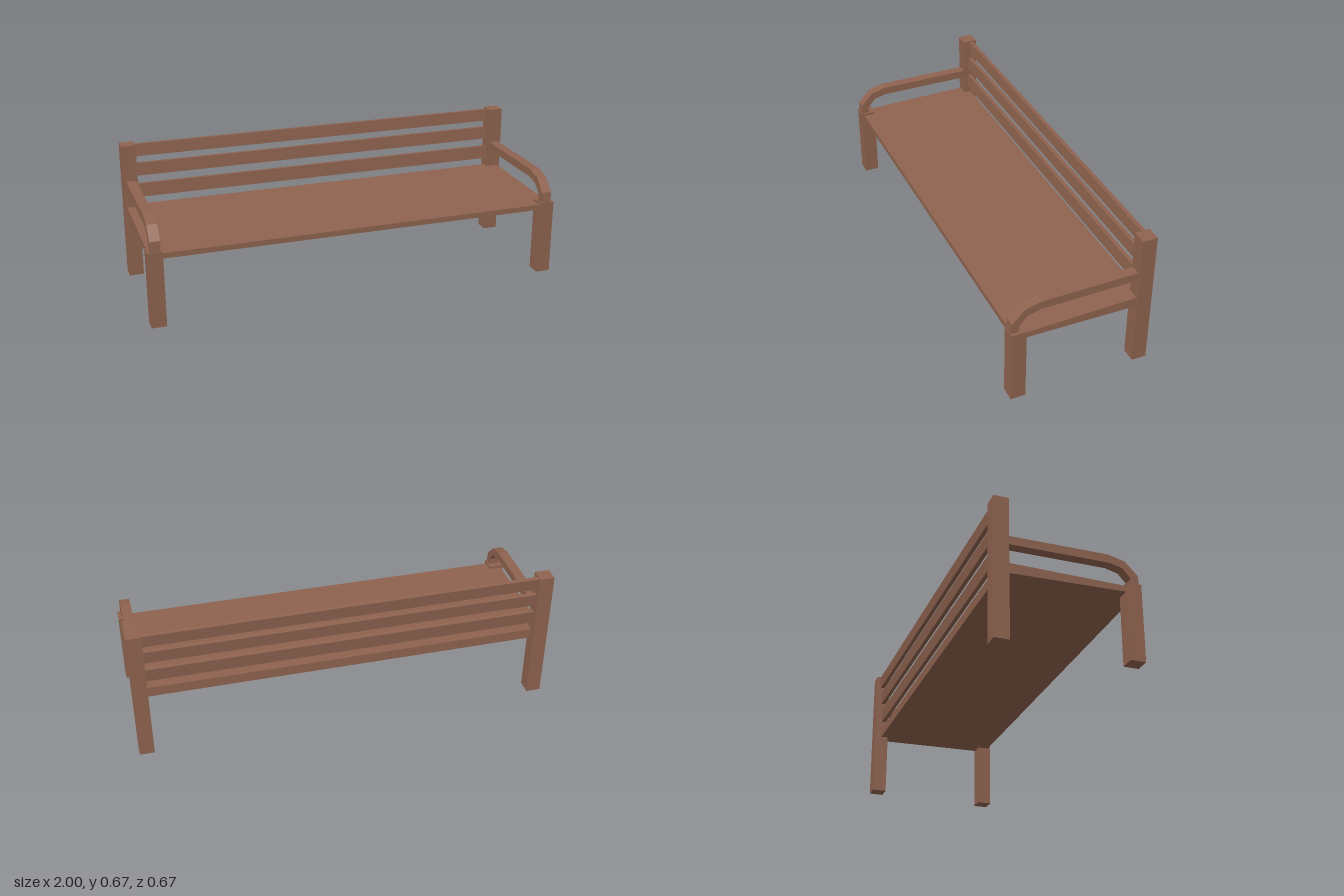
import * as THREE from 'three';

const wood = new THREE.MeshStandardMaterial({ color: 0x8f634f, flatShading: true });

export function createModel() {
  const bench = new THREE.Group();
  bench.name = 'bench';

  function add(name, geometry, x = 0, y = 0, z = 0) {
    const mesh = new THREE.Mesh(geometry, wood);
    mesh.name = name;
    mesh.position.set(x, y, z);
    bench.add(mesh);
    return mesh;
  }

  // Side profile given as [z, y] points, extruded across x and centred on it
  function profile(points, width) {
    const shape = new THREE.Shape(points.map(([z, y]) => new THREE.Vector2(z, y)));
    const geometry = new THREE.ExtrudeGeometry(shape, { depth: width, bevelEnabled: false });
    return geometry.rotateY(-Math.PI / 2).translate(width / 2, 0, 0);
  }

  // Seat board, thicker towards the back
  add('seat', profile([[0.32, 0.326], [0.32, 0.352], [-0.3, 0.363], [-0.3, 0.314]], 1.98));

  // Curved armrest: rises from the front leg and runs back to the post
  const armPoints = [
    [0.332, 0.36], [0.328, 0.415], [0.27, 0.475], [0.195, 0.495], [-0.27, 0.495],
    [-0.27, 0.455], [0.195, 0.455], [0.255, 0.44], [0.294, 0.396], [0.294, 0.36],
  ];

  for (const [side, s] of [['left', 1], ['right', -1]]) {
    add(side + 'FrontLeg', new THREE.BoxGeometry(0.07, 0.365, 0.07), s * 0.965, 0.1825, 0.3);
    add(side + 'BackPost', new THREE.BoxGeometry(0.07, 0.669, 0.07), s * 0.965, 0.3385, -0.3);
    add(side + 'Armrest', profile(armPoints, 0.048), s * 0.962);
  }

  // Backrest slats, leaning slightly backwards
  const slats = [[0.637, 0.06, -0.308], [0.542, 0.062, -0.3], [0.437, 0.066, -0.293]];
  for (const [y, height, z] of slats) {
    const slat = add('backSlat', new THREE.BoxGeometry(1.9, height, 0.02), 0, y, z);
    slat.rotation.x = -0.075;
  }

  return bench;
}
